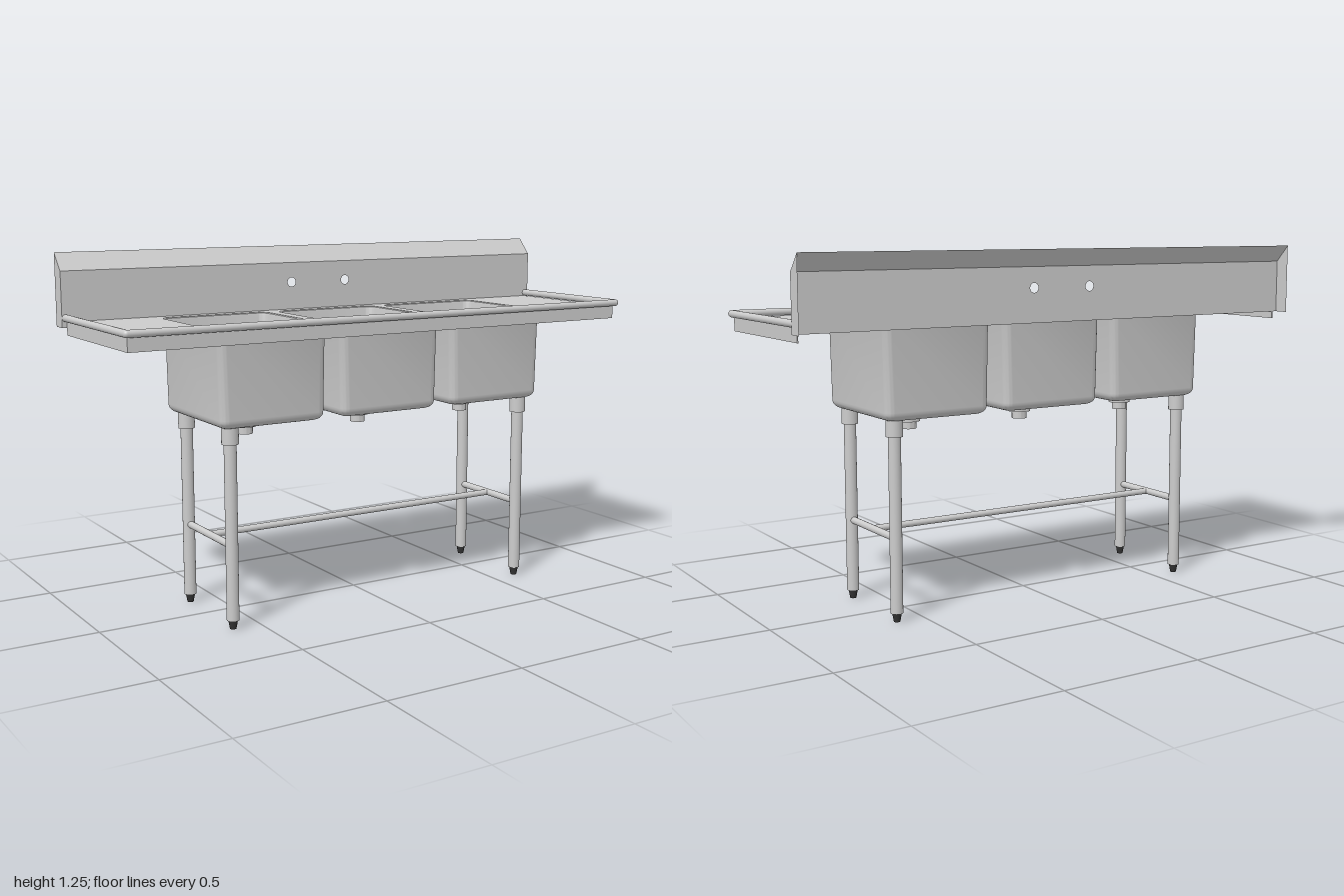
import * as THREE from 'three';
import { toCreasedNormals } from 'three/addons/utils/BufferGeometryUtils.js';

const steel = new THREE.MeshStandardMaterial({ color: 0xcccccc });
const sheet = new THREE.MeshStandardMaterial({ color: 0xcccccc, side: THREE.DoubleSide });
const rubber = new THREE.MeshStandardMaterial({ color: 0x333333 });

const DECK = 1.02, BACK = -0.25, FRONT = 0.285, SIDE = 0.983;
const BOWL_Z = 0.027, BOWL_W = 0.4, BOWL_D = 0.456, BOWL_X = [-0.457, 0, 0.457];

function add(parent, name, geometry, material, x = 0, y = 0, z = 0) {
  const mesh = new THREE.Mesh(geometry, material);
  mesh.name = name;
  mesh.position.set(x, y, z);
  parent.add(mesh);
  return mesh;
}

// Round bar between two points
function bar(parent, name, a, b, r, material = steel, rEnd = r) {
  const from = new THREE.Vector3(...a), to = new THREE.Vector3(...b);
  const dir = to.clone().sub(from);
  const mesh = add(parent, name, new THREE.CylinderGeometry(rEnd, r, dir.length(), 24), material);
  mesh.position.copy(from).add(to).multiplyScalar(0.5);
  mesh.quaternion.setFromUnitVectors(new THREE.Vector3(0, 1, 0), dir.normalize());
  return mesh;
}

// Points round a rectangle with rounded corners
function roundedRect(w, d, r, n = 8) {
  const pts = [];
  const signs = [[1, 1], [-1, 1], [-1, -1], [1, -1]];
  signs.forEach(([sx, sz], k) => {
    for (let j = 0; j <= n; j++) {
      const a = (k + j / n) * Math.PI / 2;
      pts.push(new THREE.Vector2(sx * (w / 2 - r) + r * Math.cos(a), sz * (d / 2 - r) + r * Math.sin(a)));
    }
  });
  return pts;
}

// Bowl skin lofted from the deck opening down to the drain
function bowlGeometry() {
  const rings = [[0.006, DECK, 0.036], [0.002, 1.017, 0.032], [0, 1.01, 0.03]];
  const f = 0.03;
  for (let i = 0; i <= 6; i++) {
    const a = (i / 6) * Math.PI / 2;
    rings.push([-0.004 - f * (1 - Math.cos(a)), 0.692 + f * (1 - Math.sin(a)), 0.03 - 0.012 * (i / 6)]);
  }
  const loops = rings.map(([o, y, r]) => [roundedRect(BOWL_W + 2 * o, BOWL_D + 2 * o, r), y]);
  loops.push([roundedRect(0.09, 0.09, 0.045), 0.688]);
  const pos = [], index = [], n = loops[0][0].length;
  loops.forEach(([pts, y]) => pts.forEach(p => pos.push(p.x, y, p.y)));
  for (let i = 0; i < loops.length - 1; i++) {
    for (let j = 0; j < n; j++) {
      const a = i * n + j, b = i * n + (j + 1) % n;
      index.push(a, b, a + n, b, b + n, a + n);
    }
  }
  const g = new THREE.BufferGeometry();
  g.setAttribute('position', new THREE.Float32BufferAttribute(pos, 3));
  g.setIndex(index);
  return toCreasedNormals(g, 0.6);
}

function circleHole(x, y, r) {
  return new THREE.Path().absarc(x, y, r, 0, Math.PI * 2, true);
}

function rectShape(x0, y0, x1, y1) {
  return new THREE.Shape([[x0, y0], [x1, y0], [x1, y1], [x0, y1]].map(p => new THREE.Vector2(...p)));
}

function makeDeck() {
  const deck = new THREE.Group();
  deck.name = 'deck';
  // Top sheet with bowl openings (shape y becomes -z)
  const shape = rectShape(-SIDE, -FRONT, SIDE, -BACK);
  for (const x of BOWL_X) {
    const pts = roundedRect(BOWL_W + 0.012, BOWL_D + 0.012, 0.036);
    shape.holes.push(new THREE.Path(pts.map(p => new THREE.Vector2(x + p.x, p.y - BOWL_Z))));
  }
  add(deck, 'deckSheet', new THREE.ShapeGeometry(shape).rotateX(-Math.PI / 2), sheet, 0, DECK, 0);

  // Apron and rolled rim on the front and both ends
  const apronH = 0.046, depth = FRONT - BACK, t = 0.004;
  const y = DECK - apronH / 2;
  add(deck, 'frontApron', new THREE.BoxGeometry(2 * SIDE, apronH, t), steel, 0, y, FRONT - t / 2);
  const rx = 0.987, ry = 1.033, rz = 0.293, r = 0.0125;
  bar(deck, 'frontRim', [-rx, ry, rz], [rx, ry, rz], r);
  for (const s of [-1, 1]) {
    add(deck, 'endApron', new THREE.BoxGeometry(t, apronH, depth), steel, s * (SIDE - t / 2), y, (FRONT + BACK) / 2);
    bar(deck, 'endRim', [s * rx, ry, BACK], [s * rx, ry, rz], r);
    add(deck, 'rimCorner', new THREE.SphereGeometry(r, 20, 14), steel, s * rx, ry, rz);
  }
  return deck;
}

function makeBacksplash() {
  const splash = new THREE.Group();
  splash.name = 'backsplash';
  const bottom = 1.0, fold = 1.192, top = 1.252, rear = -0.305;
  // Upright face with two tap holes
  const face = rectShape(-1, bottom, 1, fold);
  for (const x of [-0.115, 0.115]) face.holes.push(circleHole(x, 1.12, 0.017));
  add(splash, 'splashFace', new THREE.ShapeGeometry(face, 24), sheet, 0, 0, BACK);
  // Sloping top
  const slope = new THREE.PlaneGeometry(2, Math.hypot(top - fold, BACK - rear));
  add(splash, 'splashSlope', slope, sheet, 0, (top + fold) / 2, (BACK + rear) / 2)
    .rotation.x = -Math.atan2(BACK - rear, top - fold);
  // End plates
  const end = new THREE.Shape([[-BACK, bottom], [-rear, bottom], [-rear, top], [-BACK, fold]].map(p => new THREE.Vector2(...p)));
  for (const s of [-1, 1]) {
    add(splash, 'splashEnd', new THREE.ShapeGeometry(end).rotateY(Math.PI / 2), sheet, s, 0, 0);
  }
  return splash;
}

function makeBowl(x) {
  const bowl = new THREE.Group();
  bowl.name = 'bowl';
  bowl.position.set(x, 0, BOWL_Z);
  add(bowl, 'bowlShell', bowlGeometry(), sheet);
  // Perforated strainer
  const disc = new THREE.Shape().absarc(0, 0, 0.046, 0, Math.PI * 2, false);
  for (const [count, r] of [[5, 0.017], [12, 0.036]]) {
    for (let i = 0; i < count; i++) {
      const a = (i / count) * Math.PI * 2;
      disc.holes.push(circleHole(r * Math.cos(a), r * Math.sin(a), 0.004));
    }
  }
  add(bowl, 'strainer', new THREE.ShapeGeometry(disc, 8).rotateX(-Math.PI / 2), sheet, 0, 0.689, 0);
  // Drain fitting below
  const profile = [[0, 0.63], [0.027, 0.63], [0.027, 0.656], [0.04, 0.656], [0.04, 0.683], [0.021, 0.683], [0.021, 0.688]];
  const drain = new THREE.LatheGeometry(profile.map(p => new THREE.Vector2(...p)), 32);
  add(bowl, 'drain', toCreasedNormals(drain, 0.6), sheet);
  return bowl;
}

function makeStand() {
  const stand = new THREE.Group();
  stand.name = 'stand';
  const legX = 0.6, zs = [0.2, -0.143], railY = 0.289, midZ = (zs[0] + zs[1]) / 2;
  for (const s of [-1, 1]) {
    const x = s * legX;
    for (const z of zs) {
      bar(stand, 'leg', [x, 0.03, z], [x, 0.66, z], 0.0215);
      bar(stand, 'legCollar', [x, 0.636, z], [x, 0.693, z], 0.029);
      bar(stand, 'foot', [x, 0, z], [x, 0.032, z], 0.011, rubber, 0.017);
    }
    bar(stand, 'sideRail', [x, railY, zs[0]], [x, railY, zs[1]], 0.0125);
  }
  bar(stand, 'longRail', [-legX, railY, midZ], [legX, railY, midZ], 0.0115);
  return stand;
}

export function createModel() {
  const model = new THREE.Group();
  model.name = 'threeBowlSink';
  model.add(makeDeck(), makeBacksplash(), makeStand());
  for (const x of BOWL_X) model.add(makeBowl(x));
  return model;
}
